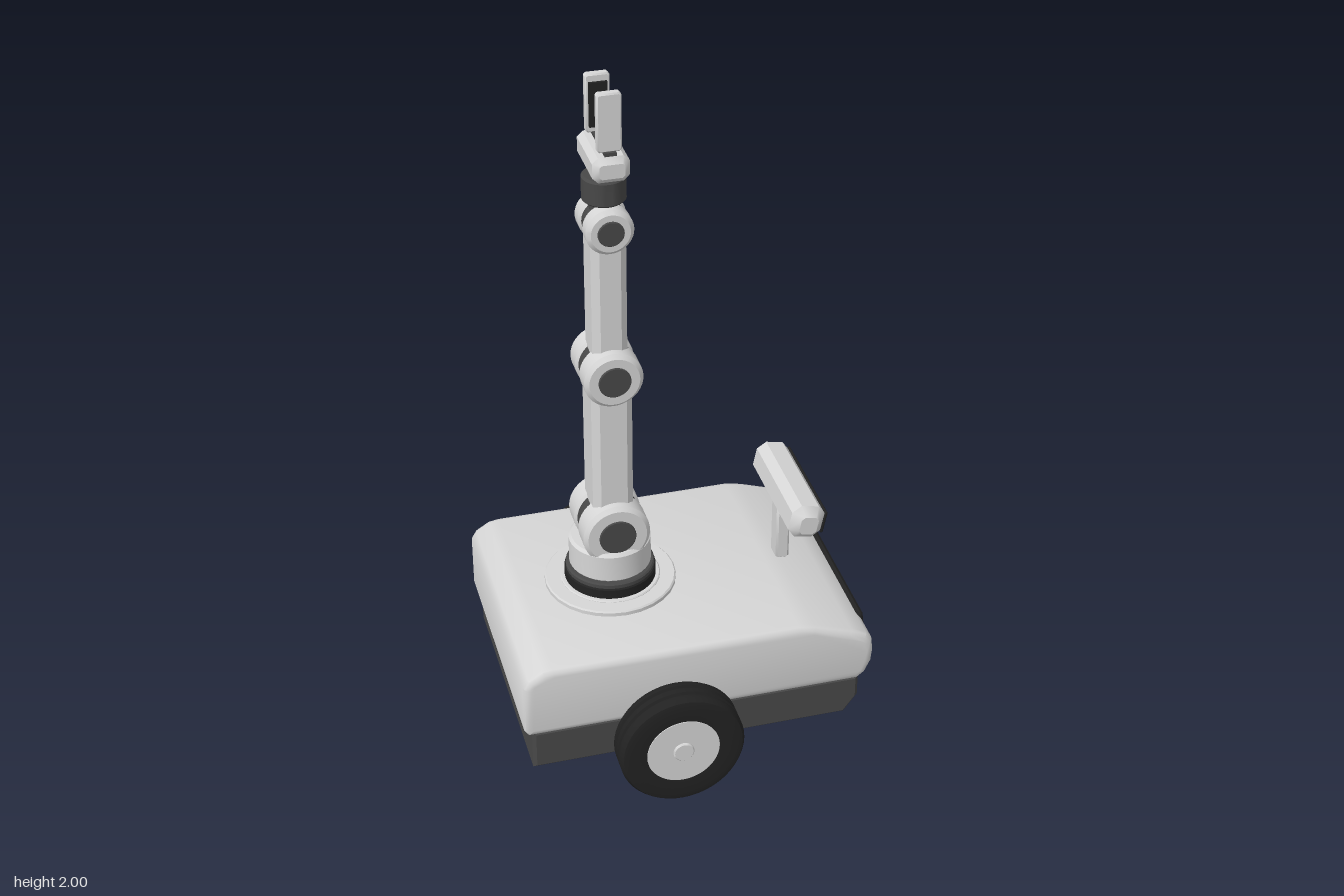
import * as THREE from 'three';
import { toCreasedNormals } from 'three/addons/utils/BufferGeometryUtils.js';

export function createModel() {
  const model = new THREE.Group();
  model.name = 'mobileArmRobot';
  const mat = (name, color) => {
    const m = new THREE.MeshStandardMaterial({ color });
    m.name = name;
    return m;
  };
  const light = mat('light grey shell', 0xd6d6d6);
  const dark = mat('dark grey plastic', 0x484848);
  const black = mat('black rubber', 0x222222);
  const white = mat('white caster ball', 0xe4e4e4);

  const add = (name, geo, material, x = 0, y = 0, z = 0, parent = model) => {
    const m = new THREE.Mesh(geo, material);
    m.name = name;
    m.position.set(x, y, z);
    parent.add(m);
    return m;
  };
  const crease = (g, a = 0.6) => toCreasedNormals(g, a);

  // Outline in x/y extruded along z, bevelled inside the given depth
  function slab(points, depth, bevel, segments = 3) {
    const shape = new THREE.Shape(points.map(p => new THREE.Vector2(...p)));
    const g = new THREE.ExtrudeGeometry(shape, {
      depth: depth - 2 * bevel, bevelEnabled: bevel > 0, bevelThickness: bevel,
      bevelSize: bevel, bevelOffset: -bevel, bevelSegments: segments,
    });
    g.translate(0, 0, -depth / 2 + bevel);
    return crease(g);
  }
  // Box with chamfered corners, centred
  function chamferBox(w, h, d, c, bevel = c) {
    const a = w / 2, b = h / 2;
    return slab([[-a + c, -b], [a - c, -b], [a, -b + c], [a, b - c],
      [a - c, b], [-a + c, b], [-a, b - c], [-a, -b + c]], d, bevel, 1);
  }
  // Turned part with small edge chamfers, centred on y
  function disc(r, h, c = 0.008, n = 40) {
    const p = [[0, -h / 2], [r - c, -h / 2], [r, -h / 2 + c], [r, h / 2 - c], [r - c, h / 2], [0, h / 2]];
    return crease(new THREE.LatheGeometry(p.map(q => new THREE.Vector2(...q)), n));
  }
  const discZ = (...args) => disc(...args).rotateX(Math.PI / 2);

  // Chassis
  add('upperShell', slab([[-0.505, 0.212], [0.462, 0.212], [0.485, 0.23], [0.503, 0.27], [0.507, 0.31],
    [0.503, 0.345], [0.485, 0.368], [0.44, 0.388], [0.33, 0.425], [0.28, 0.435], [-0.43, 0.435],
    [-0.46, 0.43], [-0.5, 0.405], [-0.515, 0.38], [-0.515, 0.225]], 0.76, 0.022), light);
  add('lowerChassis', slab([[-0.493, 0.085], [0.43, 0.085], [0.47, 0.14], [0.47, 0.215],
    [-0.493, 0.215]], 0.73, 0.01, 1), dark);
  const bumper = add('frontSensorStrip', chamferBox(0.03, 0.065, 0.54, 0.008), black, 0.498, 0.332, 0);
  bumper.rotation.z = 0.12;

  // Drive wheels with ribbed tyres
  const tyre = [[0.105, -0.046], [0.155, -0.05], [0.172, -0.046], [0.18, -0.034], [0.18, -0.022],
    [0.172, -0.018], [0.172, -0.012], [0.18, -0.008], [0.18, 0.008], [0.172, 0.012], [0.172, 0.018],
    [0.18, 0.022], [0.18, 0.034], [0.172, 0.046], [0.155, 0.05], [0.105, 0.046]];
  for (const s of [1, -1]) {
    const wheel = new THREE.Group();
    wheel.name = s > 0 ? 'leftWheel' : 'rightWheel';
    wheel.position.set(-0.097, 0.187, s * 0.47);
    const g = new THREE.LatheGeometry(tyre.map(p => new THREE.Vector2(...p)), 48).rotateX(Math.PI / 2);
    add('tyre', crease(g), black, 0, 0, 0, wheel);
    add('hub', discZ(0.108, 0.094, 0.004), light, 0, 0, 0, wheel);
    add('hubCap', discZ(0.03, 0.012, 0.003, 24), light, 0, 0, s * 0.048, wheel);
    model.add(wheel);
  }

  // Casters
  for (const x of [-0.425, 0.365]) {
    add('casterHousing', disc(0.055, 0.024, 0.006, 28), dark, x, 0.076, 0);
    add('casterBall', new THREE.SphereGeometry(0.043, 24, 16), white, x, 0.044, 0);
  }

  // Turntable
  const ax = -0.175;
  add('mountPlate', disc(0.19, 0.02, 0.004, 28), light, ax, 0.44, 0);
  add('mountRing', disc(0.145, 0.008, 0.003, 28), light, ax, 0.45, 0);
  add('turntableLower', disc(0.132, 0.04, 0.005), black, ax, 0.467, 0);
  add('turntableUpper', disc(0.128, 0.022, 0.004), dark, ax, 0.49, 0);
  add('shoulderBase', disc(0.118, 0.095, 0.008), light, ax, 0.547, 0);

  // Arm joints: two light shells, a dark middle band and dark end caps
  function joint(name, y, r, halfWidth) {
    const g = new THREE.Group();
    g.name = name;
    g.position.set(ax, y, 0);
    const w = halfWidth - 0.014;
    add('band', discZ(r - 0.008, 0.04, 0.002), dark, 0, 0, 0, g);
    for (const s of [1, -1]) {
      add('shell', discZ(r, w, 0.012), light, 0, 0, s * (0.014 + w / 2), g);
      add('endCap', discZ(r * 0.55, 0.01, 0.002, 28), dark, 0, 0, s * halfWidth, g);
    }
    model.add(g);
  }
  joint('shoulderJoint', 0.645, 0.097, 0.1);
  joint('elbowJoint', 1.155, 0.083, 0.092);
  joint('wristJoint', 1.6, 0.066, 0.073);

  // Arm links with chamfered upright edges
  function link(name, w, d, y0, y1) {
    const g = chamferBox(w, d, y1 - y0, 0.02, 0.004).rotateX(Math.PI / 2);
    add(name, g, light, ax, (y0 + y1) / 2, 0);
  }
  link('upperArm', 0.116, 0.138, 0.66, 1.14);
  link('forearm', 0.098, 0.118, 1.17, 1.59);

  // Wrist and gripper
  add('wristNeck', disc(0.04, 0.05, 0.004, 24), dark, ax, 1.655, 0);
  add('wristRotor', disc(0.06, 0.075, 0.006), dark, ax, 1.705, 0);
  add('wristFlange', disc(0.035, 0.03, 0.003, 24), light, ax, 1.75, 0);
  add('palm', chamferBox(0.1, 0.072, 0.198, 0.016), light, ax, 1.793, 0);
  add('fingerRail', new THREE.BoxGeometry(0.032, 0.014, 0.165), dark, ax, 1.832, 0);
  for (const s of [1, -1]) {
    add('finger', chamferBox(0.066, 0.164, 0.024, 0.006, 0.004), light, ax, 1.918, s * 0.062);
    add('fingerPad', new THREE.BoxGeometry(0.05, 0.125, 0.009), black, ax, 1.917, s * 0.046);
  }

  // Stereo camera on a post
  add('cameraPost', chamferBox(0.04, 0.2, 0.056, 0.006), light, 0.34, 0.52, 0);
  const head = new THREE.Group();
  head.name = 'cameraHead';
  head.position.set(0.36, 0.647, 0);
  head.rotation.z = -0.2;
  add('cameraBody', chamferBox(0.1, 0.104, 0.388, 0.024), light, 0, 0, 0, head);
  add('facePlate', chamferBox(0.009, 0.07, 0.352, 0.003), black, 0.052, 0, 0, head);
  for (const s of [1, -1]) {
    const z = s * 0.132;
    const ring = new THREE.TorusGeometry(0.026, 0.003, 8, 28).rotateY(Math.PI / 2);
    add('lensRing', ring, dark, 0.057, 0, z, head);
    add('lens', disc(0.024, 0.008, 0.003, 24).rotateZ(Math.PI / 2), black, 0.058, 0, z, head);
  }
  add('centreWindow', new THREE.BoxGeometry(0.004, 0.028, 0.05), dark, 0.057, 0, -0.03, head);
  model.add(head);

  return model;
}
